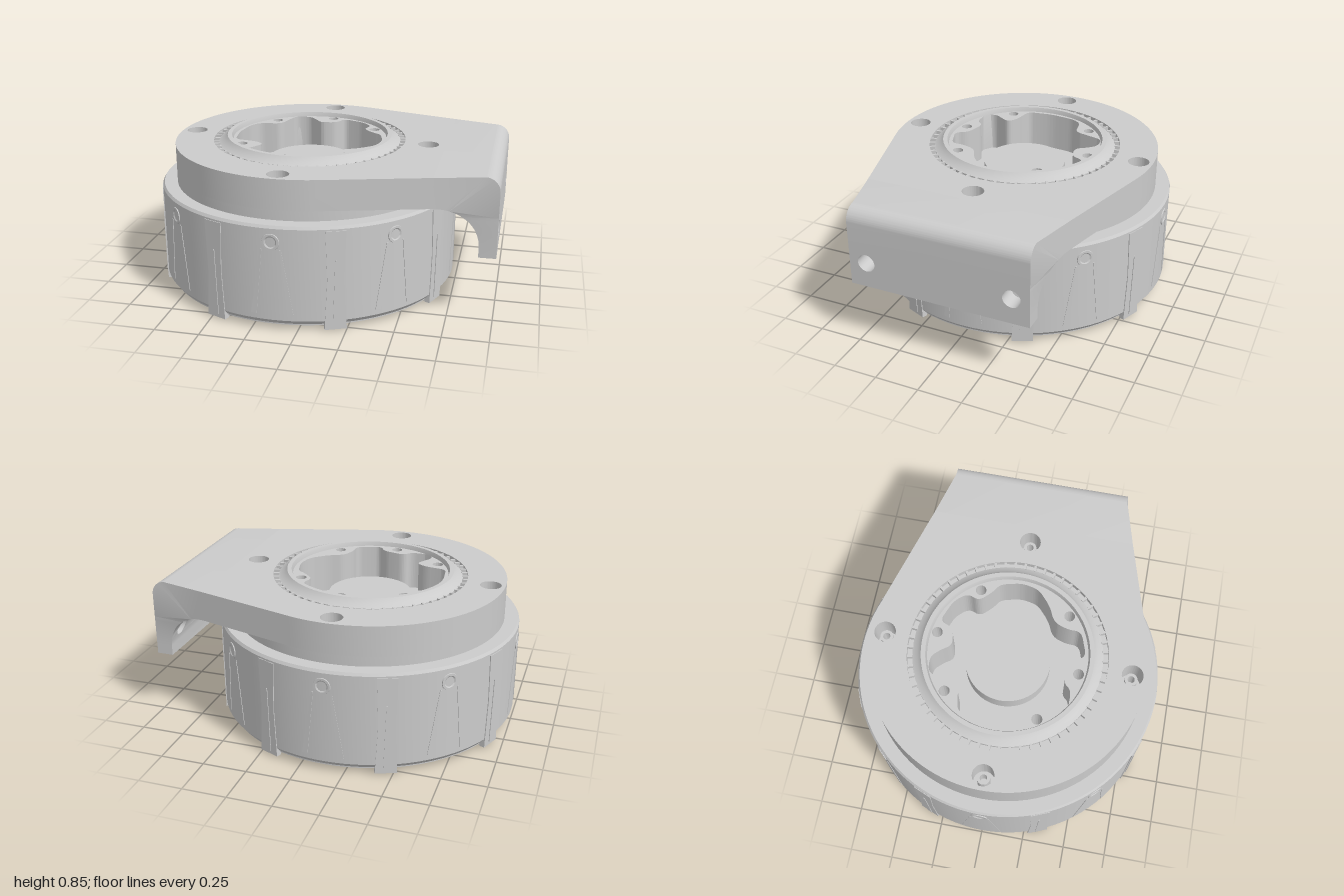
import * as THREE from 'three';
import { toCreasedNormals } from 'three/addons/utils/BufferGeometryUtils.js';

const CX = -0.135; // axis of the round housing
const mat = new THREE.MeshStandardMaterial({ color: 0xcccccc, side: THREE.DoubleSide });

function add(parent, name, geo, x = 0, y = 0, z = 0) {
  const m = new THREE.Mesh(toCreasedNormals(geo, 0.5), mat);
  m.name = name;
  m.position.set(x, y, z);
  parent.add(m);
  return m;
}

// Closed ring turned from a section given as [radius, y], outer side rising
function turned(section) {
  const pts = [...section, section[0]].map(p => new THREE.Vector2(p[0], p[1]));
  return new THREE.LatheGeometry(pts, 96);
}

// Horizontal slab from a plan shape drawn as (x, -z)
function slab(shape, y0, y1) {
  const g = new THREE.ExtrudeGeometry(shape, { depth: y1 - y0, bevelEnabled: false, curveSegments: 48 });
  return g.rotateX(-Math.PI / 2).translate(0, y0, 0);
}

const disc = (x, z, r) => new THREE.Shape().absarc(x, -z, r, 0, Math.PI * 2, false);

// Polygon of [x, z] points with rounded corners
function rounded(points, r) {
  const p = points.map(([x, z]) => new THREE.Vector2(x, -z));
  const s = new THREE.Shape();
  p.forEach((c, i) => {
    const a = p[(i + p.length - 1) % p.length], b = p[(i + 1) % p.length];
    const from = c.clone().lerp(a, Math.min(0.45, r / c.distanceTo(a)));
    const to = c.clone().lerp(b, Math.min(0.45, r / c.distanceTo(b)));
    if (i) s.lineTo(from.x, from.y); else s.moveTo(from.x, from.y);
    s.quadraticCurveTo(c.x, c.y, to.x, to.y);
  });
  s.closePath();
  return s;
}

// Bracket outline: half width narrows along the tangent to the round cover
const halfWidth = x => 0.515 + Math.max(0, 0.91 - x) * 0.282;
// Inner face of the bracket: quarter ellipse below the plate
const innerX = y => 0.655 + 0.25 * Math.sqrt(Math.max(0, 1 - (Math.max(0, y - 0.43) / 0.22) ** 2));

function fitWidth(geo) {
  const p = geo.attributes.position;
  for (let i = 0; i < p.count; i++) {
    if (Math.abs(p.getZ(i)) > 0.5) p.setZ(i, Math.sign(p.getZ(i)) * halfWidth(p.getX(i)));
  }
  return geo;
}

function buildBracket(root) {
  const g = new THREE.Group();
  g.name = 'bracket';
  root.add(g);

  // Top plate with the large opening and four counterbores
  const t = 1.295, xe = 0.66;
  const plate = new THREE.Shape();
  plate.moveTo(xe, -halfWidth(xe));
  plate.lineTo(xe, halfWidth(xe));
  plate.absarc(CX, 0, 0.78, t, Math.PI * 2 - t, false);
  plate.closePath();
  plate.holes.push(disc(CX, 0, 0.56));
  for (let i = 0; i < 4; i++) {
    const a = i * Math.PI / 2, x = CX + 0.698 * Math.cos(a), z = 0.698 * Math.sin(a);
    plate.holes.push(disc(x, z, 0.06));
    add(g, 'plateScrew', turned([[0.02, 0.65], [0.036, 0.65], [0.036, 0.75], [0.02, 0.75]]), x, 0, z);
  }
  add(g, 'topPlate', slab(plate, 0.65, 0.82));

  // Bend between plate and flange
  const bend = new THREE.Shape();
  bend.moveTo(xe, 0.82);
  bend.lineTo(xe, 0.65);
  for (let y = 0.645; y > 0.601; y -= 0.005) bend.lineTo(innerX(y), y);
  bend.lineTo(innerX(0.6), 0.6);
  bend.lineTo(1, 0.6);
  bend.lineTo(1, 0.74);
  bend.absarc(0.92, 0.74, 0.08, 0, Math.PI / 2, false);
  bend.closePath();
  const bendGeo = new THREE.ExtrudeGeometry(bend, { depth: 1.03, bevelEnabled: false, curveSegments: 12 });
  add(g, 'bend', fitWidth(bendGeo.translate(0, 0, -0.515)));

  // Drilled flange, its inner face following the ellipse
  const ys = [0.37, 0.43, 0.46, 0.49, 0.52, 0.54, 0.56, 0.58, 0.6];
  const outline = [...ys.map(y => [0.515, y]), ...ys.slice().reverse().map(y => [-0.515, y])];
  const flange = new THREE.Shape(outline.map(p => new THREE.Vector2(p[0], p[1])));
  for (const s of [-1, 1]) flange.holes.push(disc(s * 0.415, -0.515, 0.05));
  const geo = new THREE.ExtrudeGeometry(flange, { depth: 0.1, bevelEnabled: false, curveSegments: 16 });
  geo.rotateY(Math.PI / 2).translate(0.9, 0, 0);
  const p = geo.attributes.position;
  for (let i = 0; i < p.count; i++) if (p.getX(i) < 0.95) p.setX(i, innerX(p.getY(i)));
  add(g, 'flange', fitWidth(geo));
}

function buildHousing(body) {
  add(body, 'housingWall', turned([
    [0.8, 0.04], [0.845, 0.035], [0.865, 0.06], [0.865, 0.58], [0.855, 0.595],
    [0.77, 0.595], [0.77, 0.56], [0.81, 0.56]]));
  add(body, 'coverRing', turned([[0.56, 0.56], [0.78, 0.56], [0.78, 0.65], [0.56, 0.65]]));

  // Base plate with its openings
  const base = disc(0, 0, 0.84);
  base.holes.push(
    disc(0, 0, 0.19),
    rounded([[0.31, -0.39], [0.45, -0.25], [0.31, -0.11], [0.17, -0.25]], 0.04),
    rounded([[-0.12, -0.36], [-0.21, -0.26], [-0.36, -0.22], [-0.52, -0.36], [-0.47, -0.47], [-0.3, -0.5]], 0.05),
    rounded([[-0.5, 0.0], [-0.46, -0.03], [-0.02, 0.43], [-0.04, 0.49], [-0.25, 0.46], [-0.43, 0.27]], 0.04),
    disc(-0.02, -0.72, 0.012));
  add(body, 'basePlate', slab(base, 0.025, 0.045));

  // Eight clips with feet, and eight side screws between them
  const clip = new THREE.Shape([[-0.06, 0.01], [0.06, 0.01], [0.045, 0.3], [0.055, 0.57],
    [-0.055, 0.57], [-0.045, 0.3]].map(p => new THREE.Vector2(...p)));
  const wedge = new THREE.Shape([[-0.016, 0], [0.016, 0], [0.004, 0.38], [-0.004, 0.38]]
    .map(p => new THREE.Vector2(...p)));
  for (let i = 0; i < 8; i++) {
    const c = new THREE.Group();
    c.name = 'clip';
    c.rotation.y = (i + 0.5) * Math.PI / 4;
    body.add(c);
    add(c, 'clipPost', new THREE.ExtrudeGeometry(clip, { depth: 0.03, bevelEnabled: false }), 0, 0, 0.838);
    add(c, 'clipSpine', new THREE.ExtrudeGeometry(wedge, { depth: 0.03, bevelEnabled: false }), 0, 0.03, 0.842);
    add(c, 'foot', turned([[0.022, 0], [0.045, 0], [0.058, 0.014], [0.058, 0.035], [0.022, 0.035]]), 0, 0, 0.785);
    add(c, 'footTab', new THREE.BoxGeometry(0.1, 0.03, 0.07), 0, 0.025, 0.825);

    const s = new THREE.Group();
    s.name = 'sideScrew';
    s.rotation.y = i * Math.PI / 4;
    body.add(s);
    const ring = turned([[0.022, 0], [0.05, 0], [0.046, 0.012], [0.034, 0.012], [0.022, 0.004]]);
    add(s, 'screwRing', ring.rotateX(Math.PI / 2), 0, 0.505, 0.857);
    for (const k of [-1, 1]) {
      const w = add(s, 'flankRidge', new THREE.ExtrudeGeometry(wedge, { depth: 0.01, bevelEnabled: false }),
        k * 0.1, 0.09, 0.852);
      w.rotation.set(0, k * 0.1, k * 0.13);
    }
  }
}

function buildRotor(body) {
  add(body, 'rotorRing', turned([
    [0.44, 0.56], [0.53, 0.56], [0.53, 0.81], [0.5, 0.825], [0.48, 0.85], [0.455, 0.85], [0.445, 0.82]]));
  add(body, 'sealRing', turned([[0.525, 0.58], [0.565, 0.58], [0.565, 0.79], [0.525, 0.79]]));
  for (let i = 0; i < 60; i++) {
    const a = i * Math.PI / 30;
    const tooth = add(body, 'sealTooth', new THREE.BoxGeometry(0.014, 0.03, 0.036),
      0.545 * Math.sin(a), 0.8, 0.545 * Math.cos(a));
    tooth.rotation.y = a;
  }

  // Hub with keyed pocket, six bolt holes and a raised centre
  const bolts = [[-0.28, -0.3], [0.05, -0.41], [0.345, -0.22], [0.28, 0.3], [-0.05, 0.405], [-0.345, 0.225]];
  const pocket = rounded([
    [-0.43, 0], [-0.41, -0.15], [-0.37, -0.21], [-0.24, -0.23], [-0.21, -0.34], [-0.19, -0.41], [-0.1, -0.42],
    [-0.05, -0.37], [-0.01, -0.31], [0.09, -0.33], [0.12, -0.41], [0.25, -0.36], [0.31, -0.29], [0.28, -0.22],
    [0.35, -0.15], [0.4, -0.12], [0.43, 0], [0.41, 0.1], [0.32, 0.18], [0.23, 0.22], [0.2, 0.3], [0.2, 0.38],
    [0.06, 0.43], [0.02, 0.36], [-0.11, 0.33], [-0.15, 0.38], [-0.26, 0.38], [-0.29, 0.32], [-0.22, 0.21],
    [-0.28, 0.17], [-0.41, 0.15]], 0.04);
  const face = disc(0, 0, 0.45), floor = disc(0, 0, 0.45);
  for (const [x, z] of bolts) {
    face.holes.push(disc(x, z, 0.03));
    floor.holes.push(disc(x, z, 0.03));
  }
  face.holes.push(pocket);
  add(body, 'hubFace', slab(face, 0.6, 0.825));
  add(body, 'hubFloor', slab(floor, 0.57, 0.6));
  add(body, 'hubCentre', new THREE.CylinderGeometry(0.24, 0.24, 0.12, 64), 0, 0.64, 0);
}

export function createModel() {
  const root = new THREE.Group();
  root.name = 'motorMount';
  buildBracket(root);
  const body = new THREE.Group();
  body.name = 'motorBody';
  body.position.x = CX;
  root.add(body);
  buildHousing(body);
  buildRotor(body);
  return root;
}
